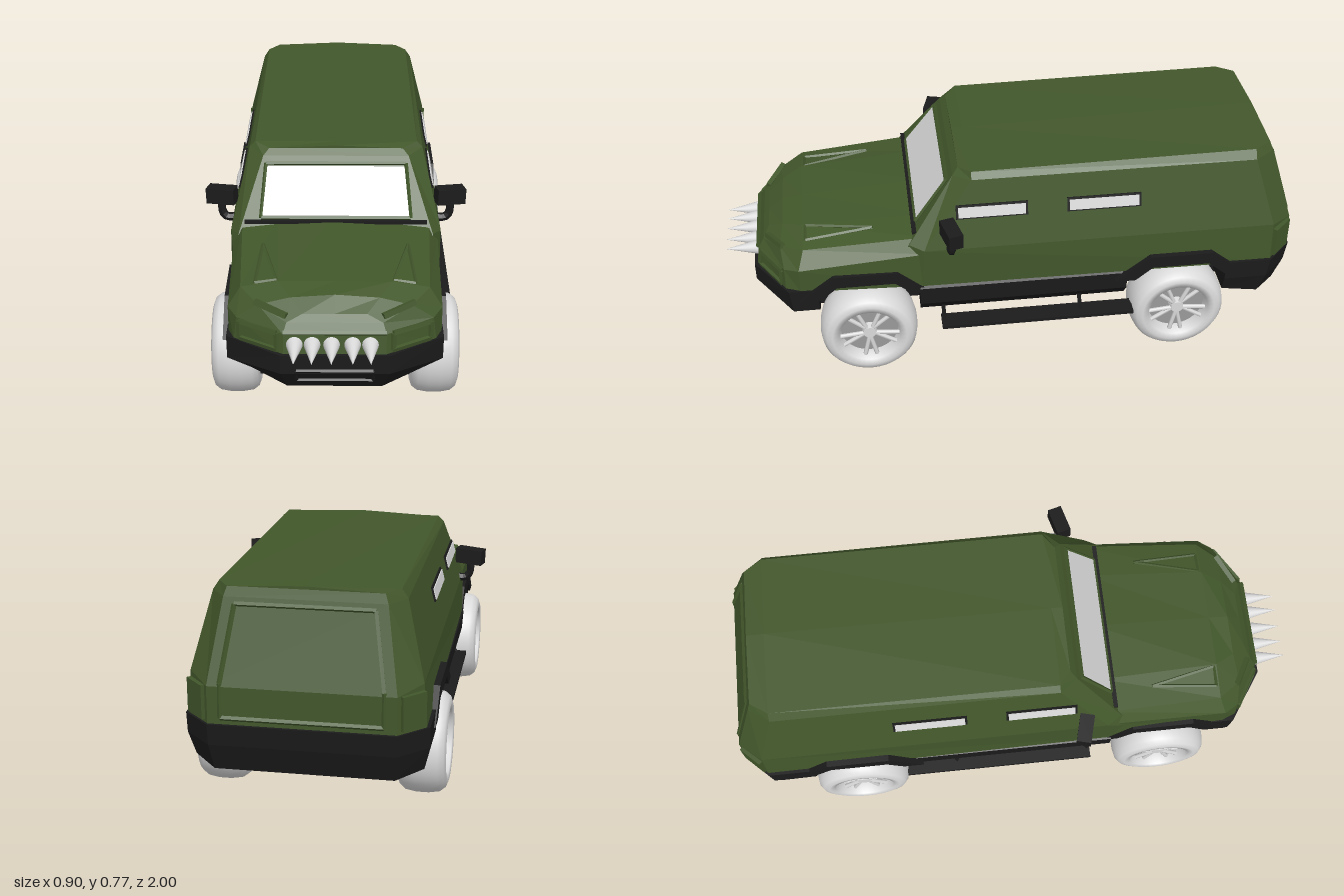
import * as THREE from 'three';

const flat = (name, color) => {
  const m = new THREE.MeshStandardMaterial({ color, flatShading: true });
  m.name = name;
  return m;
};

export function createModel() {
  const model = new THREE.Group();
  model.name = 'armouredTruck';
  const green = flat('armourGreen', 0x42572b);
  const black = flat('trimBlack', 0x1b1b1b);
  const grey = flat('rimGrey', 0x9a9a9a);
  const glass = new THREE.MeshStandardMaterial({ color: 0xdcdcdc, side: THREE.DoubleSide });
  glass.name = 'windowGlass';
  const light = new THREE.MeshStandardMaterial({ color: 0xdadada });
  light.name = 'wheelLight';

  const add = (name, geo, mat, pos = [0, 0, 0], parent = model) => {
    const m = new THREE.Mesh(geo, mat);
    m.name = name;
    m.position.set(...pos);
    parent.add(m);
    return m;
  };
  const box = (name, size, pos, mat, parent) => add(name, new THREE.BoxGeometry(...size), mat, pos, parent);

  // Straight rod between two points
  const bar = (name, a, b, r, mat, sides = 4, parent = model) => {
    const p = new THREE.Vector3(...a), q = new THREE.Vector3(...b);
    const m = add(name, new THREE.CylinderGeometry(r, r, p.distanceTo(q), sides), mat, [0, 0, 0], parent);
    m.position.copy(p).add(q).multiplyScalar(0.5);
    m.quaternion.setFromUnitVectors(new THREE.Vector3(0, 1, 0), q.sub(p).normalize());
    return m;
  };
  const outline = (name, pts, r, mat) => pts.forEach((p, i) => bar(name, p, pts[(i + 1) % pts.length], r, mat));

  // Skin over half rings that end on x = 0 and are mirrored to -x
  const loft = (name, halves, mat) => {
    const rings = halves.map(h => [...h, ...h.slice(0, -1).reverse().map(([x, y, z]) => [-x, y, z])]);
    const n = rings[0].length, pos = [];
    const tri = (...p) => p.forEach(v => pos.push(...v));
    for (let k = 0; k < rings.length - 1; k++) {
      const r = rings[k], s = rings[k + 1];
      for (let i = 0; i < n; i++) {
        const j = (i + 1) % n;
        tri(r[i], r[j], s[j]);
        tri(r[i], s[j], s[i]);
      }
    }
    const first = rings[0], last = rings[rings.length - 1];
    for (let i = 0; i < (n - 1) / 2; i++) {
      const a = i, b = i + 1, c = n - 2 - i, d = n - 1 - i;
      if (b !== c) {
        tri(last[a], last[b], last[c]);
        tri(first[a], first[c], first[b]);
      }
      tri(last[a], last[c], last[d]);
      tri(first[a], first[d], first[c]);
    }
    const g = new THREE.BufferGeometry();
    g.setAttribute('position', new THREE.Float32BufferAttribute(pos, 3));
    g.computeVertexNormals();
    return add(name, g, mat);
  };

  // Armoured cabin
  loft('cabin', [
    [[0.29, 0.34, -0.99], [0.29, 0.47, -0.99], [0.25, 0.73, -0.91], [0.24, 0.76, -0.9], [0, 0.77, -0.9]],
    [[0.37, 0.34, -0.91], [0.36, 0.49, -0.91], [0.3, 0.73, -0.84], [0.28, 0.76, -0.84], [0, 0.77, -0.84]],
    [[0.36, 0.34, 0.32], [0.36, 0.49, 0.31], [0.3, 0.73, 0.14], [0.28, 0.75, 0.14], [0, 0.75, 0.14]],
    [[0.33, 0.34, 0.48], [0.33, 0.5, 0.36], [0.25, 0.72, 0.2], [0.23, 0.74, 0.18], [0, 0.75, 0.18]],
  ], green);

  // Hood and nose
  loft('hood', [
    [[0.36, 0.34, 0.3], [0.35, 0.47, 0.3], [0.32, 0.52, 0.3], [0.2, 0.53, 0.3], [0, 0.54, 0.3]],
    [[0.34, 0.34, 0.74], [0.34, 0.43, 0.74], [0.3, 0.49, 0.72], [0.18, 0.51, 0.72], [0, 0.51, 0.72]],
    [[0.32, 0.34, 0.79], [0.31, 0.42, 0.79], [0.24, 0.47, 0.8], [0.14, 0.49, 0.79], [0, 0.5, 0.79]],
    [[0.16, 0.34, 0.89], [0.16, 0.41, 0.88], [0.15, 0.44, 0.86], [0.1, 0.46, 0.84], [0, 0.46, 0.84]],
  ], green);
  box('cowlStrip', [0.62, 0.01, 0.015], [0, 0.535, 0.34], black);

  // Windscreen
  const screen = new THREE.BufferGeometry();
  screen.setAttribute('position', new THREE.Float32BufferAttribute([
    -0.25, 0.553, 0.329, 0.25, 0.553, 0.329, 0.235, 0.693, 0.228, -0.235, 0.693, 0.228], 3));
  screen.setIndex([0, 1, 2, 0, 2, 3]);
  screen.computeVertexNormals();
  add('windscreen', screen, glass);
  outline('windscreenFrame', [[-0.255, 0.545, 0.33], [0.255, 0.545, 0.33], [0.24, 0.7, 0.218], [-0.24, 0.7, 0.218]], 0.007, green);

  // Rear door frame
  outline('rearDoorFrame', [[-0.25, 0.37, -0.99], [0.25, 0.37, -0.99], [0.25, 0.48, -0.987],
    [0.215, 0.71, -0.917], [-0.215, 0.71, -0.917], [-0.25, 0.48, -0.987]], 0.008, green);

  // Lower hull: sills, floor and bumpers
  const sill = z => [[0.32, 0.21, z], [0.36, 0.26, z], [0.365, 0.33, z], [0.35, 0.34, z], [0, 0.34, z]];
  loft('sills', [sill(-0.4), sill(0.33)], black);
  box('floor', [0.48, 0.14, 1.7], [0, 0.27, -0.08], black);
  box('keel', [0.32, 0.03, 1.3], [0, 0.2, -0.05], black);
  loft('frontBumper', [
    [[0.345, 0.345, 0.68], [0.345, 0.345, 0.78], [0.17, 0.345, 0.9], [0, 0.345, 0.9]],
    [[0.345, 0.26, 0.68], [0.345, 0.26, 0.77], [0.17, 0.28, 0.9], [0, 0.28, 0.9]],
    [[0.27, 0.205, 0.68], [0.27, 0.205, 0.74], [0.15, 0.205, 0.85], [0, 0.205, 0.85]],
  ], black);
  outline('bumperPlateFrame', [[-0.12, 0.245, 0.88], [0.12, 0.245, 0.88], [0.12, 0.29, 0.9], [-0.12, 0.29, 0.9]], 0.006, black);
  loft('rearBumper', [
    [[0.36, 0.22, -0.75], [0.36, 0.2, -0.88], [0.28, 0.19, -0.96], [0, 0.19, -0.96]],
    [[0.38, 0.28, -0.75], [0.38, 0.28, -0.9], [0.29, 0.28, -0.99], [0, 0.28, -0.99]],
    [[0.38, 0.35, -0.75], [0.38, 0.35, -0.91], [0.29, 0.35, -1], [0, 0.35, -1]],
  ], black);

  // Wheel arch outline, across the side of the body
  const arch = new THREE.Shape([[-0.23, 0.31], [-0.11, 0.405], [0.11, 0.405], [0.23, 0.31],
    [0.16, 0.31], [0.1, 0.36], [-0.1, 0.36], [-0.16, 0.31]].map(p => new THREE.Vector2(...p)));

  // Wheel, axis on y until turned
  const tyreGeo = new THREE.LatheGeometry([[0.1, -0.07], [0.13, -0.08], [0.15, -0.073], [0.164, -0.055], [0.17, -0.02],
    [0.17, 0.02], [0.164, 0.055], [0.15, 0.073], [0.13, 0.08], [0.108, 0.076], [0.1, 0.03], [0.1, -0.07]]
    .map(p => new THREE.Vector2(...p)), 40);
  const makeWheel = (name, x, z, s) => {
    const w = new THREE.Group();
    w.name = name;
    add('tyre', tyreGeo, light, [0, 0, 0], w);
    add('rimBack', new THREE.CylinderGeometry(0.102, 0.102, 0.06, 32), grey, [0, 0, 0], w);
    add('hub', new THREE.CylinderGeometry(0.022, 0.028, 0.03, 16), light, [0, 0.042, 0], w);
    for (let i = 0; i < 5; i++) for (const d of [-0.2, 0.2]) {
      const a = i * Math.PI * 0.4, b = a + d;
      bar('spoke', [0.015 * Math.cos(a), 0.048, 0.015 * Math.sin(a)],
        [0.105 * Math.cos(b), 0.05, 0.105 * Math.sin(b)], 0.008, light, 6, w);
    }
    w.rotation.z = -s * Math.PI / 2;
    w.position.set(x, 0.17, z);
    model.add(w);
  };

  for (const s of [1, -1]) {
    const side = s > 0 ? 'left' : 'right';

    // Wheels, suspension and flares
    for (const [end, z, out] of [['Front', 0.515, 0.36], ['Rear', -0.585, 0.385]]) {
      makeWheel(`${side}${end}Wheel`, s * 0.33, z, s);
      for (const d of [-0.06, 0, 0.06])
        bar(`${side}${end}Arm`, [s * 0.28, d ? 0.15 : 0.18, z + d * 0.5], [s * 0.14, 0.21, z + d], 0.012, light, 10);
      const flare = add(`${side}${end}Flare`, new THREE.ExtrudeGeometry(arch, { depth: 0.08, bevelEnabled: false }),
        black, [s > 0 ? out - 0.08 : -out, 0, z]);
      flare.rotation.y = Math.PI / 2;
    }

    // Side windows
    for (const [z, len] of [[0.075, 0.23], [-0.31, 0.24]]) {
      for (const [name, h, l, x, mat] of [['WindowFrame', 0.05, len + 0.015, 0.328, black], ['Window', 0.037, len, 0.332, glass]]) {
        const p = box(side + name, [0.009, h, l], [s * x, 0.622, z], mat);
        p.rotation.z = s * 0.245;
      }
    }

    // Mirror with bent arm
    const arm = new THREE.CatmullRomCurve3([[0.34, 0.5], [0.38, 0.5], [0.395, 0.52], [0.395, 0.57]]
      .map(([x, y]) => new THREE.Vector3(s * x, y, 0.22)));
    add(side + 'MirrorArm', new THREE.TubeGeometry(arm, 8, 0.015, 6), black);
    const mirror = box(side + 'Mirror', [0.1, 0.055, 0.05], [s * 0.395, 0.583, 0.22], black);
    mirror.rotation.set(0, s * 0.25, -s * 0.04);

    // Running board and hangers
    const bx = s > 0 ? 0.375 : -0.35;
    box(side + 'RunningBoard', [0.07, 0.012, 0.68], [bx, 0.185, -0.08], black);
    for (const z of [0.25, -0.235]) bar(side + 'BoardHanger', [bx, 0.185, z], [s * 0.32, 0.23, z], 0.007, black);

    // Tail lamp housing
    const lamp = box(side + 'TailHousing', [0.09, 0.11, 0.03], [s * 0.328, 0.415, -0.945], green);
    lamp.rotation.y = -s * 0.81;

    // Headlamp surround and hood vent
    outline(side + 'HeadlampSurround', [[s * 0.18, 0.355, 0.876], [s * 0.3, 0.355, 0.802],
      [s * 0.3, 0.41, 0.798], [s * 0.18, 0.41, 0.87]], 0.01, green);
    outline(side + 'HoodVent', [[s * 0.24, 0.52, 0.48], [s * 0.185, 0.508, 0.71], [s * 0.255, 0.498, 0.71]], 0.006, green);
    bar(side + 'HoodBrow', [s * 0.25, 0.475, 0.79], [s * 0.15, 0.455, 0.845], 0.012, green);
  }
  bar('noseBrow', [-0.16, 0.415, 0.88], [0.16, 0.415, 0.88], 0.008, green);

  // Row of nose spikes
  for (const x of [-0.125, -0.07, -0.01, 0.055, 0.11]) {
    const spike = add('noseSpike', new THREE.ConeGeometry(0.027, 0.12, 20), light, [x, 0.375, 0.94]);
    spike.rotation.x = Math.PI / 2;
  }
  return model;
}
